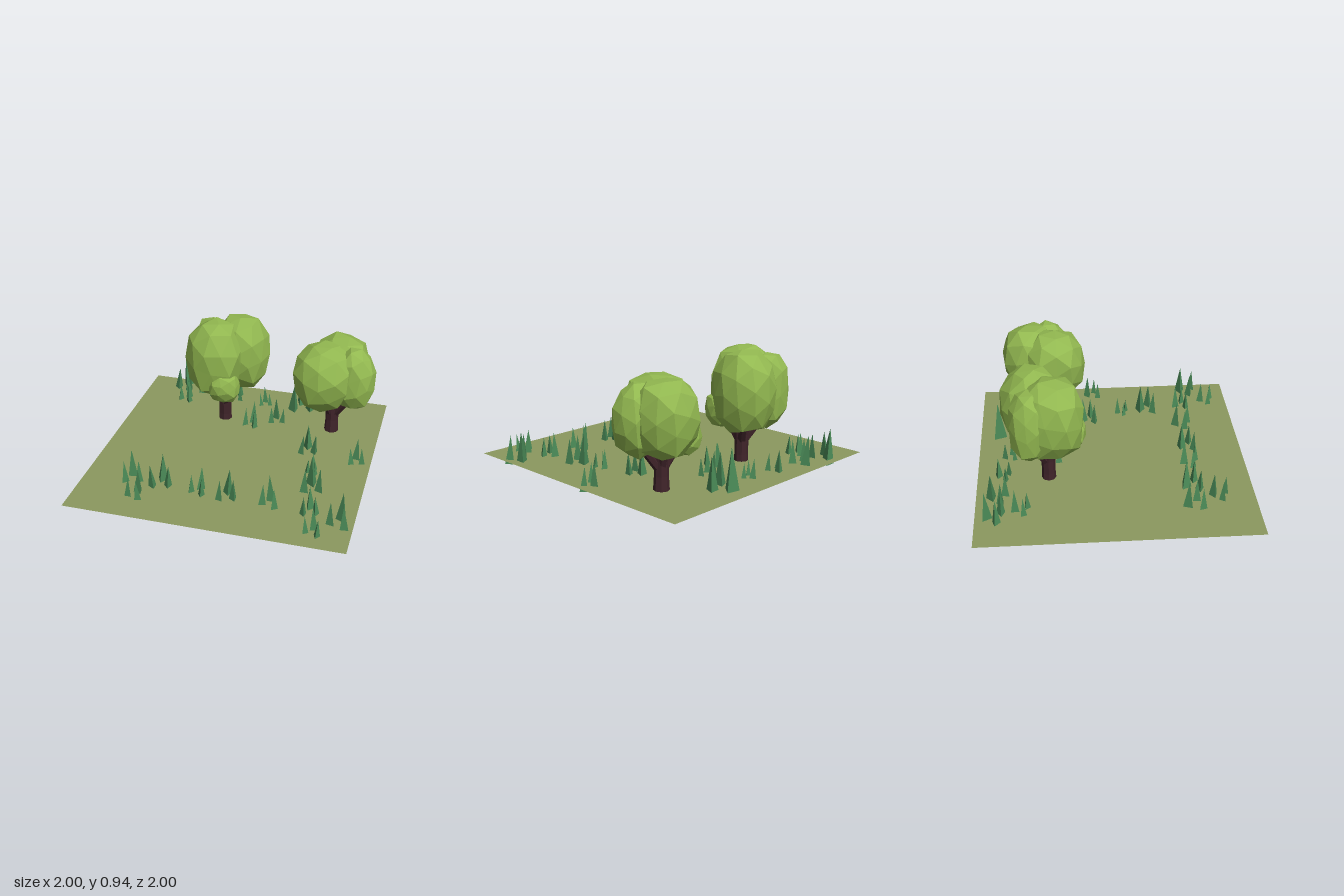
import * as THREE from 'three';

const GROUND_Y = 0.09;
const mat = (color, extra = {}) =>
  new THREE.MeshStandardMaterial({ color, flatShading: true, ...extra });
const leafMat = mat(0x92b850);
const barkMat = mat(0x40242a);
const grassMat = mat(0x4a8a57);
const groundMat = mat(0x8b985f, { side: THREE.DoubleSide });

function mesh(name, geometry, material) {
  const m = new THREE.Mesh(geometry, material);
  m.name = name;
  return m;
}

// Repeatable value in 0..1
const hash = (a, b = 0, c = 0) => {
  const s = Math.sin(a * 12.99 + b * 78.23 + c * 37.72) * 43758.55;
  return s - Math.floor(s);
};

// Faceted leaf mass: icosphere swollen towards a box, with uneven corners
function leafMass([x, y, z], [rx, ry, rz], seed) {
  const g = new THREE.IcosahedronGeometry(1, 1);
  g.rotateY(seed * 1.3);
  g.rotateX(seed * 0.7);
  const p = g.attributes.position;
  const v = new THREE.Vector3();
  const P = 2.5;
  for (let i = 0; i < p.count; i++) {
    v.fromBufferAttribute(p, i);
    const [a, b, c] = [v.x, v.y, v.z].map((n) => Math.round(n * 50));
    const len = (Math.abs(v.x) ** P + Math.abs(v.y) ** P + Math.abs(v.z) ** P) ** (1 / P);
    v.multiplyScalar((0.96 + 0.11 * hash(a + seed, b, c)) / len);
    p.setXYZ(i, v.x * rx, v.y * ry, v.z * rz);
  }
  g.translate(x, y, z);
  g.computeVertexNormals();
  return mesh('leafMass', g, leafMat);
}

// Tapered limb between two points
function limb(from, to, r0, r1) {
  const a = new THREE.Vector3(...from);
  const d = new THREE.Vector3(...to).sub(a);
  const m = mesh('branch', new THREE.CylinderGeometry(r1, r0, d.length(), 6), barkMat);
  m.position.copy(a).addScaledVector(d, 0.5);
  m.quaternion.setFromUnitVectors(new THREE.Vector3(0, 1, 0), d.normalize());
  return m;
}

// Trunk with flaring branches under a crown of leaf masses
function tree(name, { x, z, base, lobes }) {
  const g = new THREE.Group();
  g.name = name;
  const profile = [[0, 0], [0.05, 0], [0.057, 0.03], [0.05, 0.14], [0.052, 0.25], [0.065, 0.36], [0, 0.4]]
    .map(([r, y]) => new THREE.Vector2(r, y));
  const trunk = mesh('trunk', new THREE.LatheGeometry(profile, 8), barkMat);
  trunk.position.set(x, base, z);
  g.add(trunk);
  lobes.forEach(([c, r], i) => {
    const end = new THREE.Vector3(x, 0.38, z).lerp(new THREE.Vector3(c[0], 0.38, c[2]), 0.7);
    g.add(limb([x, 0.22, z], end.toArray(), 0.035, 0.028));
    g.add(leafMass(c, r, i + 1 + (x > 0 ? 5 : 0)));
  });
  return g;
}

// Three-sided pointed blade with a slightly leaning tip
function blade(x, z, r, turn) {
  const foot = 0.05 + 0.008 * hash(x, z);
  const h = r * 5.2;
  const g = new THREE.ConeGeometry(r, h, 3);
  g.rotateY(turn);
  const p = g.attributes.position;
  const lean = (hash(x, z, 3) - 0.5) * r * 0.9;
  for (let i = 0; i < p.count; i++) {
    if (p.getY(i) > 0) p.setX(i, p.getX(i) + lean);
  }
  g.computeVertexNormals();
  const m = mesh('grassBlade', g, grassMat);
  m.position.set(x, foot + h / 2, z);
  return m;
}

// Grass tufts: centre x, centre z, then blade size
const tufts = [
  [-0.70, -0.86, 0.046], [-0.48, -0.83, 0.044], [-0.63, -0.67, 0.037], [-0.22, -0.80, 0.034],
  [0.03, -0.76, 0.030], [0.33, -0.78, 0.058], [0.18, -0.52, 0.036], [-0.01, -0.41, 0.038],
  [0.51, -0.14, 0.040], [0.89, -0.09, 0.036], [0.60, 0.13, 0.030], [0.64, 0.34, 0.046],
  [-0.64, 0.56, 0.043], [-0.42, 0.57, 0.044], [-0.55, 0.75, 0.038], [-0.14, 0.59, 0.038],
  [0.08, 0.60, 0.041], [0.39, 0.60, 0.041], [0.68, 0.62, 0.038], [0.90, 0.70, 0.044],
  [0.74, 0.84, 0.036],
];

export function createModel() {
  const model = new THREE.Group();
  model.name = 'treesAndGrass';

  const ground = mesh('ground', new THREE.PlaneGeometry(2, 2).rotateX(-Math.PI / 2), groundMat);
  ground.position.y = GROUND_Y;
  model.add(ground);

  model.add(tree('tallTree', {
    x: -0.235, z: -0.475, base: 0,
    lobes: [
      [[-0.295, 0.64, -0.44], [0.225, 0.295, 0.23]],
      [[-0.13, 0.645, -0.585], [0.215, 0.295, 0.215]],
      [[-0.36, 0.62, -0.60], [0.16, 0.27, 0.14]],
      [[-0.20, 0.46, -0.32], [0.12, 0.13, 0.12]],
    ],
  }));
  model.add(tree('shortTree', {
    x: 0.625, z: -0.51, base: 0.05,
    lobes: [
      [[0.555, 0.605, -0.40], [0.22, 0.26, 0.22]],
      [[0.665, 0.605, -0.59], [0.215, 0.26, 0.215]],
      [[0.79, 0.59, -0.45], [0.15, 0.24, 0.155]],
      [[0.50, 0.45, -0.59], [0.12, 0.12, 0.12]],
    ],
  }));

  // Each tuft is one tall blade at the back and two lower ones beside it
  tufts.forEach(([x, z, r], k) => {
    const tuft = new THREE.Group();
    tuft.name = 'grassTuft';
    const flip = hash(k, 2) > 0.5 ? 1 : -1;
    const offsets = [[0.2, -1.3, 1.12], [-1.25, 0.25, 0.92], [1.0, 0.95, 0.92]];
    offsets.forEach(([dx, dz, s], i) =>
      tuft.add(blade(x + dx * r * flip, z + dz * r, r * s, k * 0.8 + i * 2.4)));
    model.add(tuft);
  });
  return model;
}
